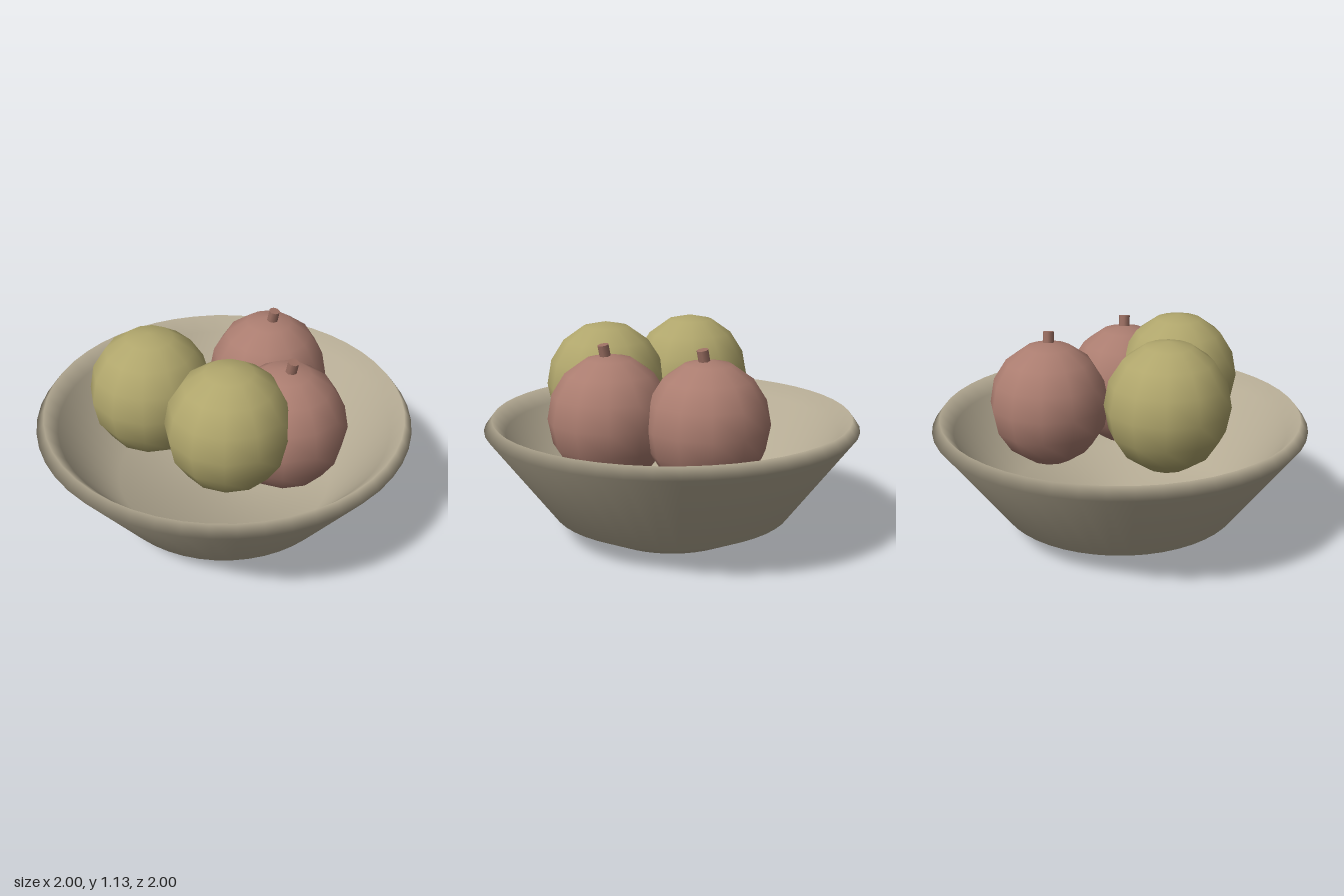
import * as THREE from 'three';

const material = (name, color) => {
  const m = new THREE.MeshStandardMaterial({ color });
  m.name = name;
  return m;
};

export function createModel() {
  const model = new THREE.Group();
  model.name = 'fruitBowl';
  const clay = material('clay', 0xb5ab94);
  const red = material('dustyRed', 0xab7d70);
  const green = material('oliveGreen', 0xb0a66c);
  const brown = material('stemBrown', 0x9c7063);

  const add = (parent, name, geometry, mat, x, y, z) => {
    const mesh = new THREE.Mesh(geometry, mat);
    mesh.name = name;
    mesh.position.set(x, y, z);
    parent.add(mesh);
    return mesh;
  };

  // Bowl: closed profile from the underside, over the rim, to the inner floor
  const profile = [
    [0, 0], [0.4, 0], [0.65, 0.125], [1, 0.597], [0.958, 0.653],
    [0.89, 0.575], [0.59, 0.19], [0, 0.13],
  ].map(([r, y]) => new THREE.Vector2(r, y));
  add(model, 'bowl', new THREE.LatheGeometry(profile, 48), clay, 0, 0, 0);

  // Fruit: slightly tall spheres with few sides and smooth shading
  const body = new THREE.SphereGeometry(0.323, 12, 8).scale(1, 1.053, 1);
  const stem = new THREE.CylinderGeometry(0.03, 0.03, 0.12, 8);

  // Apples with tilted stems
  [['backApple', 0.033, -0.385], ['leftApple', 0.38, 0]].forEach(([name, x, z]) => {
    const apple = new THREE.Group();
    apple.name = name;
    apple.position.set(x, 0.672, z);
    add(apple, 'appleBody', body, red, 0, 0, 0);
    add(apple, 'appleStem', stem, brown, 0.022, 0.331, 0).rotation.z = -0.2;
    model.add(apple);
  });

  // Green fruit resting in front
  add(model, 'rightGreenFruit', body, green, -0.283, 0.785, 0.257);
  add(model, 'frontGreenFruit', body, green, 0.233, 0.785, 0.302);

  return model;
}
